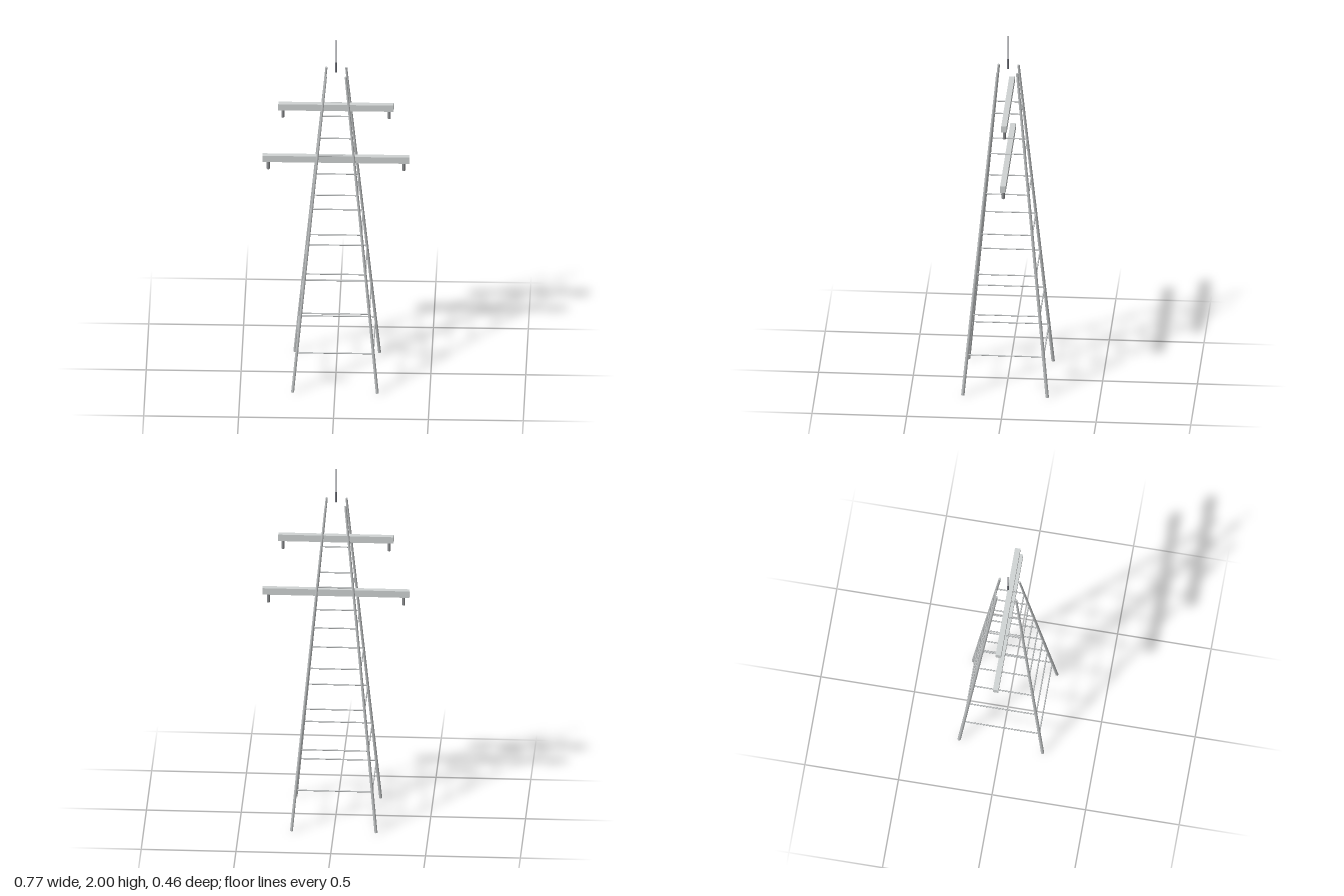
import * as THREE from 'three';

export function createModel() {
  const model = new THREE.Group();
  const paint = (name, color) => {
    const material = new THREE.MeshStandardMaterial({ color });
    material.name = name;
    return material;
  };
  const steel = paint('galvanised steel', 0xc0c3c4);
  const lightSteel = paint('light steel', 0xd0d4d4);
  const grey = paint('insulator grey', 0x909294);
  const dark = paint('dark metal', 0x74767e);

  const add = (name, geometry, material) => {
    const mesh = new THREE.Mesh(geometry, material);
    mesh.name = name;
    model.add(mesh);
    return mesh;
  };

  // Round bar between two points, r0 at the start and r1 at the end
  const bar = (name, a, b, r0, r1, sides, material) => {
    const dir = b.clone().sub(a);
    const geometry = new THREE.CylinderGeometry(r1, r0, dir.length(), sides);
    const mesh = add(name, geometry, material);
    mesh.position.copy(a).lerp(b, 0.5);
    mesh.quaternion.setFromUnitVectors(new THREE.Vector3(0, 1, 0), dir.normalize());
  };

  // Four leaning legs
  const height = 1.808, foot = 0.223, head = 0.052;
  const corners = [[1, 1], [1, -1], [-1, -1], [-1, 1]];
  const legPoint = ([sx, sz], t) => {
    const s = foot + (head - foot) * t;
    return new THREE.Vector3(sx * s, 0.001 + (height - 0.001) * t, sz * s);
  };
  for (const c of corners) bar('leg', legPoint(c, 0), legPoint(c, 1), 0.009, 0.0065, 6, steel);

  // Seven square rings of horizontal braces
  for (let i = 1; i <= 7; i++) {
    corners.forEach((c, k) => {
      bar('brace', legPoint(c, i / 8), legPoint(corners[(k + 1) % 4], i / 8), 0.0036, 0.0036, 6, steel);
    });
  }

  // Box cross arms with hanging insulators
  const armHeight = 0.037;
  for (const [half, bottom, hang] of [[0.387, 1.269, 0.357], [0.304, 1.581, 0.28]]) {
    const arm = add('crossArm', new THREE.BoxGeometry(half * 2, armHeight, 0.029), lightSteel);
    arm.position.y = bottom + armHeight / 2;
    for (const side of [-1, 1]) {
      bar('insulator', new THREE.Vector3(side * hang, bottom - 0.048, 0),
        new THREE.Vector3(side * hang, bottom + 0.002, 0), 0.008, 0.008, 8, grey);
    }
  }

  // Tapering lightning rod
  bar('lightningRod', new THREE.Vector3(0, 1.808, 0), new THREE.Vector3(0, 2, 0), 0.005, 0.0015, 8, dark);

  return model;
}
